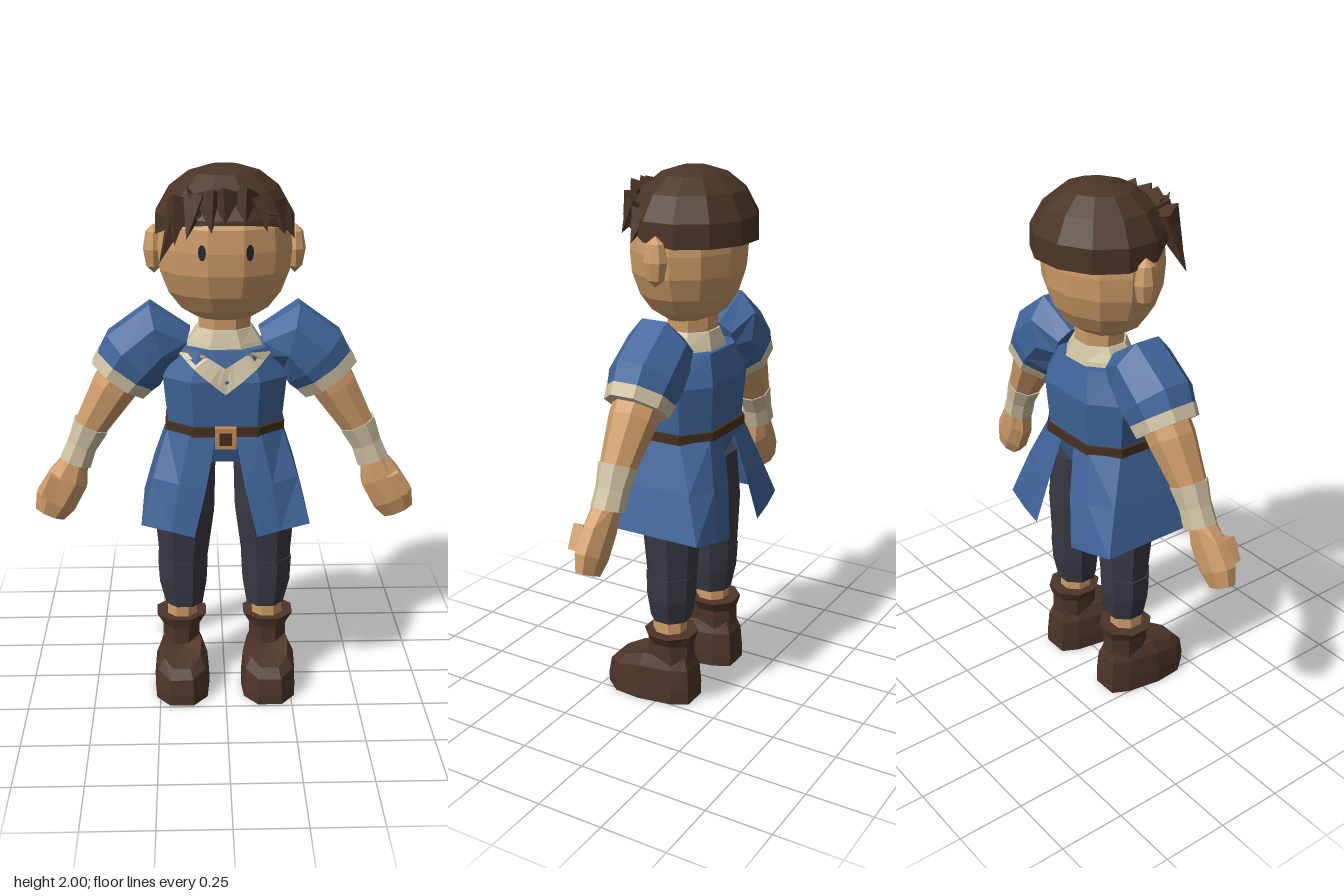
import * as THREE from 'three';

const mat = (name, color) => {
  const m = new THREE.MeshStandardMaterial({ color, side: THREE.DoubleSide });
  m.name = name;
  return m;
};
const V = (x, y, z) => new THREE.Vector3(x, y, z);

// Flat-shaded copy of a geometry
function flat(g) {
  const f = g.index ? g.toNonIndexed() : g;
  f.computeVertexNormals();
  return f;
}

// Skin between successive rings of points, optionally closed at the ends
function loft(rings, { capA = true, capB = true, closed = true } = {}) {
  const out = [];
  const tri = (a, b, c) => { for (const p of [a, b, c]) out.push(p.x, p.y, p.z); };
  const n = rings[0].length;
  for (let r = 0; r < rings.length - 1; r++) {
    for (let i = 0; i < (closed ? n : n - 1); i++) {
      const j = (i + 1) % n, A = rings[r], B = rings[r + 1];
      tri(A[i], A[j], B[j]);
      tri(A[i], B[j], B[i]);
    }
  }
  const cap = (ring, up) => {
    const c = ring.reduce((s, p) => s.add(p), V(0, 0, 0)).divideScalar(n);
    for (let i = 0; i < n; i++) {
      const j = (i + 1) % n;
      up ? tri(c, ring[i], ring[j]) : tri(c, ring[j], ring[i]);
    }
  };
  if (capA) cap(rings[0], false);
  if (capB) cap(rings[rings.length - 1], true);
  const g = new THREE.BufferGeometry();
  g.setAttribute('position', new THREE.Float32BufferAttribute(out, 3));
  return flat(g);
}

// Horizontal n-sided ring with flat front, half extents rx and rz
function ring(y, rx, rz, cx = 0, cz = 0, n = 8) {
  const k = 1 / Math.cos(Math.PI / n);
  return Array.from({ length: n }, (_, i) => {
    const a = ((i + 0.5) / n) * Math.PI * 2;
    return V(cx + Math.sin(a) * rx * k, y, cz + Math.cos(a) * rz * k);
  });
}

// Horizontal boxy octagon for the trunk
function trunkRing(y, rx, zf, zb) {
  const m = (zf + zb) / 2, h = (zf - zb) / 2, q = 0.55;
  return [[q, 1], [1, 0.45], [1, -0.45], [q, -1], [-q, -1], [-1, -0.45], [-1, 0.45], [-q, 1]]
    .map(([x, z]) => V(x * rx, y, m + z * h));
}

// Limb in the xy plane: points are [x, y, z, half width, half depth]
function limb(pts, n = 8) {
  return loft(pts.map(([x, y, z, w, d], i) => {
    const a = pts[Math.max(i - 1, 0)], b = pts[Math.min(i + 1, pts.length - 1)];
    const dir = V(b[0] - a[0], b[1] - a[1], 0).normalize();
    const side = V(dir.y, -dir.x, 0);
    return Array.from({ length: n }, (_, k) => {
      const t = ((k + 0.5) / n) * Math.PI * 2;
      return V(x, y, z + Math.cos(t) * d * 1.06).addScaledVector(side, Math.sin(t) * w * 1.06);
    });
  }));
}

// Mirror across x, keeping faces outward
function mirrored(geo) {
  const g = geo.clone(), p = g.attributes.position;
  for (let i = 0; i < p.count; i += 3) {
    const v = [0, 2, 1].map(k => V(-p.getX(i + k), p.getY(i + k), p.getZ(i + k)));
    v.forEach((q, k) => p.setXYZ(i + k, q.x, q.y, q.z));
  }
  g.computeVertexNormals();
  return g;
}

// Pointed lock of hair from base to tip
function spike(base, tip, r) {
  const a = V(...base), b = V(...tip), d = b.clone().sub(a);
  const g = new THREE.ConeGeometry(r, d.length(), 4);
  g.applyQuaternion(new THREE.Quaternion().setFromUnitVectors(V(0, 1, 0), d.clone().normalize()));
  g.translate(...a.add(b).multiplyScalar(0.5).toArray());
  return flat(g);
}

export function createModel() {
  const model = new THREE.Group();
  model.name = 'character';
  const skin = mat('skin', 0xcf9c69), hair = mat('hair brown', 0x4b3426), blue = mat('tunic blue', 0x40659a),
    cream = mat('cream', 0xcfc3a3), dark = mat('trouser grey', 0x393944), boot = mat('boot brown', 0x4d3529),
    leather = mat('belt leather', 0x46301f), brass = mat('buckle brass', 0xc48c55), black = mat('eye black', 0x24262f);
  const add = (name, geo, m) => {
    const mesh = new THREE.Mesh(geo, m);
    mesh.name = name;
    model.add(mesh);
  };
  const pair = (name, geo, m) => {
    add(name + 'Left', geo, m);
    add(name + 'Right', mirrored(geo), m);
  };

  // Head, neck and ears
  add('head', loft([[1.465, 0.1], [1.5, 0.155], [1.56, 0.2], [1.64, 0.23], [1.72, 0.237], [1.8, 0.23], [1.9, 0.17]]
    .map(([y, r]) => ring(y, r, r * 0.825, 0, -0.005, 12))), skin);
  add('neck', loft([ring(1.35, 0.09, 0.08, 0, -0.015), ring(1.49, 0.095, 0.085, 0, -0.015)]), skin);
  const ear = new THREE.SphereGeometry(1, 8, 4);
  ear.scale(0.038, 0.088, 0.046).translate(0.252, 1.705, -0.015);
  pair('ear', flat(ear), skin);
  const eye = new THREE.CircleGeometry(0.015, 10);
  eye.scale(1, 1.9, 1).rotateY(0.44).translate(0.082, 1.725, 0.187);
  pair('eye', flat(eye), black);

  // Hair cap, with the hairline lifted at the front
  const cap = [[1.75, 0.245], [1.835, 0.243], [1.92, 0.195], [1.975, 0.125], [1.998, 0.05]]
    .map(([y, r]) => ring(y, r, r * 0.91, 0, -0.02, 12));
  cap[0].forEach(p => { p.y += 0.07 * THREE.MathUtils.clamp(p.z / 0.18, 0, 1); });
  add('hairCap', loft(cap, { capA: false }), hair);

  // Fringe locks
  [
    [[-0.15, 1.88, 0.14], [-0.228, 1.69, 0.185], 0.05],
    [[-0.16, 1.9, 0.14], [-0.175, 1.755, 0.212], 0.05],
    [[-0.1, 1.91, 0.16], [-0.135, 1.775, 0.212], 0.05],
    [[-0.06, 1.92, 0.16], [-0.05, 1.795, 0.215], 0.055],
    [[0, 1.92, 0.16], [-0.005, 1.825, 0.215], 0.055],
    [[0.06, 1.92, 0.15], [0.065, 1.825, 0.205], 0.055],
    [[0.12, 1.9, 0.14], [0.14, 1.795, 0.185], 0.05],
    [[0.16, 1.88, 0.11], [0.205, 1.78, 0.15], 0.05],
    [[0.19, 1.86, 0.07], [0.243, 1.755, 0.09], 0.045],
    [[-0.12, 1.89, 0.16], [0.2, 1.845, 0.15], 0.035],
    [[-0.1, 1.85, 0.16], [-0.13, 1.95, 0.185], 0.04],
  ].forEach(([a, b, r], i) => add('fringeLock' + (i + 1), spike(a, b, r), hair));

  // Tunic body, collar and chest chevron
  const rows = [[0.93, 0.13, 0.08, -0.11], [1.04, 0.205, 0.12, -0.155], [1.25, 0.225, 0.14, -0.17], [1.36, 0.17, 0.11, -0.14]];
  add('tunicBody', loft(rows.map(r => trunkRing(...r))), blue);
  add('collar', loft([ring(1.35, 0.14, 0.112, 0, -0.015), ring(1.375, 0.13, 0.105, 0, -0.015), ring(1.425, 0.098, 0.09, 0, -0.015)]), cream);
  const front = (x, y) => {
    const [a, b] = y < 1.25 ? [rows[1], rows[2]] : [rows[2], rows[3]];
    const t = (y - a[0]) / (b[0] - a[0]);
    const [, rx, zf, zb] = a.map((v, i) => v + (b[i] - v) * t);
    const over = Math.max(0, Math.abs(x) / rx - 0.55) / 0.45;
    return V(x, y, zf - over * 0.275 * (zf - zb) + 0.008);
  };
  const low = [], high = [];
  for (let i = -6; i <= 6; i++) {
    const t = Math.abs(i) / 6, s = i / 6;
    low.push(front(0.17 * s, 1.205 + 0.14 * t));
    high.push(front(0.09 * s, 1.3 + 0.055 * t));
  }
  add('chestChevron', loft([low, high], { capA: false, capB: false, closed: false }), cream);

  // Belt and buckle
  add('belt', loft([trunkRing(1.045, 0.218, 0.137, -0.168), trunkRing(1.08, 0.218, 0.137, -0.168)]), leather);
  const box = (w, h, d, x, y, z) => flat(new THREE.BoxGeometry(w, h, d).translate(x, y, z));
  add('buckle', box(0.078, 0.078, 0.03, 0, 1.045, 0.147), brass);
  add('bucklePlate', box(0.044, 0.046, 0.006, 0, 1.045, 0.163), leather);

  // Skirt halves, split at front and back
  const hem = [[0.115, 0.675, 0.195], [0.2, 0.695, 0.185], [0.31, 0.715, 0.165], [0.31, 0.715, -0.21], [0.2, 0.695, -0.23], [0.11, 0.675, -0.235]];
  const waist = [[0.035, 1.05, 0.132], [0.13, 1.05, 0.132], [0.213, 1.05, 0.06], [0.213, 1.05, -0.085], [0.13, 1.05, -0.163], [0.035, 1.05, -0.163]];
  // Points run from front to back, so the surface faces outward
  const toV = a => a.map(p => V(...p));
  const middle = hem.map((h, i) => V(...h).lerp(V(...waist[i]), 0.5).add(V(i % 5 ? 0.005 : -0.005, 0, i < 3 ? 0.006 : -0.006)));
  pair('skirtHalf', loft([toV(hem), middle, toV(waist)], { capA: false, capB: false, closed: false }), blue);

  // Arms: puffed sleeve, trim, bare arm, wrist wrap and fist
  pair('sleeve', limb([[0.15, 1.35, -0.02, 0.07, 0.08], [0.24, 1.385, -0.02, 0.13, 0.12], [0.33, 1.305, -0.02, 0.135, 0.125], [0.375, 1.245, -0.02, 0.118, 0.11]]), blue);
  pair('sleeveTrim', limb([[0.362, 1.263, -0.02, 0.124, 0.116], [0.39, 1.225, -0.02, 0.117, 0.11]]), cream);
  pair('arm', limb([[0.33, 1.3, -0.02, 0.085, 0.085], [0.41, 1.19, -0.018, 0.082, 0.082], [0.5, 1.04, -0.01, 0.06, 0.06], [0.55, 0.93, -0.005, 0.05, 0.05]]), skin);
  pair('wristWrap', limb([[0.495, 1.05, -0.01, 0.068, 0.066], [0.53, 0.975, -0.008, 0.056, 0.056], [0.556, 0.908, -0.005, 0.06, 0.058]]), cream);
  pair('hand', limb([[0.553, 0.925, 0, 0.045, 0.045], [0.585, 0.845, 0.008, 0.076, 0.05], [0.635, 0.76, 0.012, 0.08, 0.05], [0.66, 0.705, 0.012, 0.058, 0.036]]), skin);
  const thumb = new THREE.BoxGeometry(0.045, 0.09, 0.04);
  thumb.rotateZ(0.45).translate(0.645, 0.825, 0.055);
  pair('thumb', flat(thumb), skin);

  // Legs
  pair('thigh', loft([ring(0.512, 0.09, 0.086, 0.158, -0.018), ring(0.72, 0.112, 0.1, 0.152, -0.013), ring(0.91, 0.105, 0.09, 0.14, -0.015)]), dark);
  pair('shin', loft([ring(0.325, 0.07, 0.073, 0.156, -0.012), ring(0.42, 0.09, 0.085, 0.16, -0.016), ring(0.515, 0.095, 0.088, 0.16, -0.018)]), dark);
  pair('ankle', loft([ring(0.25, 0.058, 0.06, 0.165, -0.012), ring(0.34, 0.055, 0.06, 0.165, -0.012)]), skin);

  // Boots: shaft with flared cuff, and a foot sloping to the toe
  pair('bootShaft', loft([[0.12, 0.068, 0.085], [0.235, 0.07, 0.085], [0.278, 0.095, 0.096]]
    .map(([y, a, b]) => ring(y, a, b, 0.168, -0.02))), boot);
  const half = [[0.045, 0.24], [0.097, 0.175], [0.105, 0.07], [0.082, -0.06], [0.05, -0.122]];
  const sole = [...half, ...half.map(([x, z]) => [-x, z]).reverse()];
  const footRing = (h, k) => sole.map(([x, z]) => {
    const top = 0.185 - 0.05 * THREE.MathUtils.clamp((z - 0.07) / 0.17, 0, 1);
    return V(0.167 + x * k, top * h, 0.02 + (z - 0.02) * (0.35 + 0.65 * k));
  });
  pair('foot', loft([footRing(0, 1), footRing(0.3, 1), footRing(0.75, 0.93), footRing(1, 0.72)]), boot);

  return model;
}
